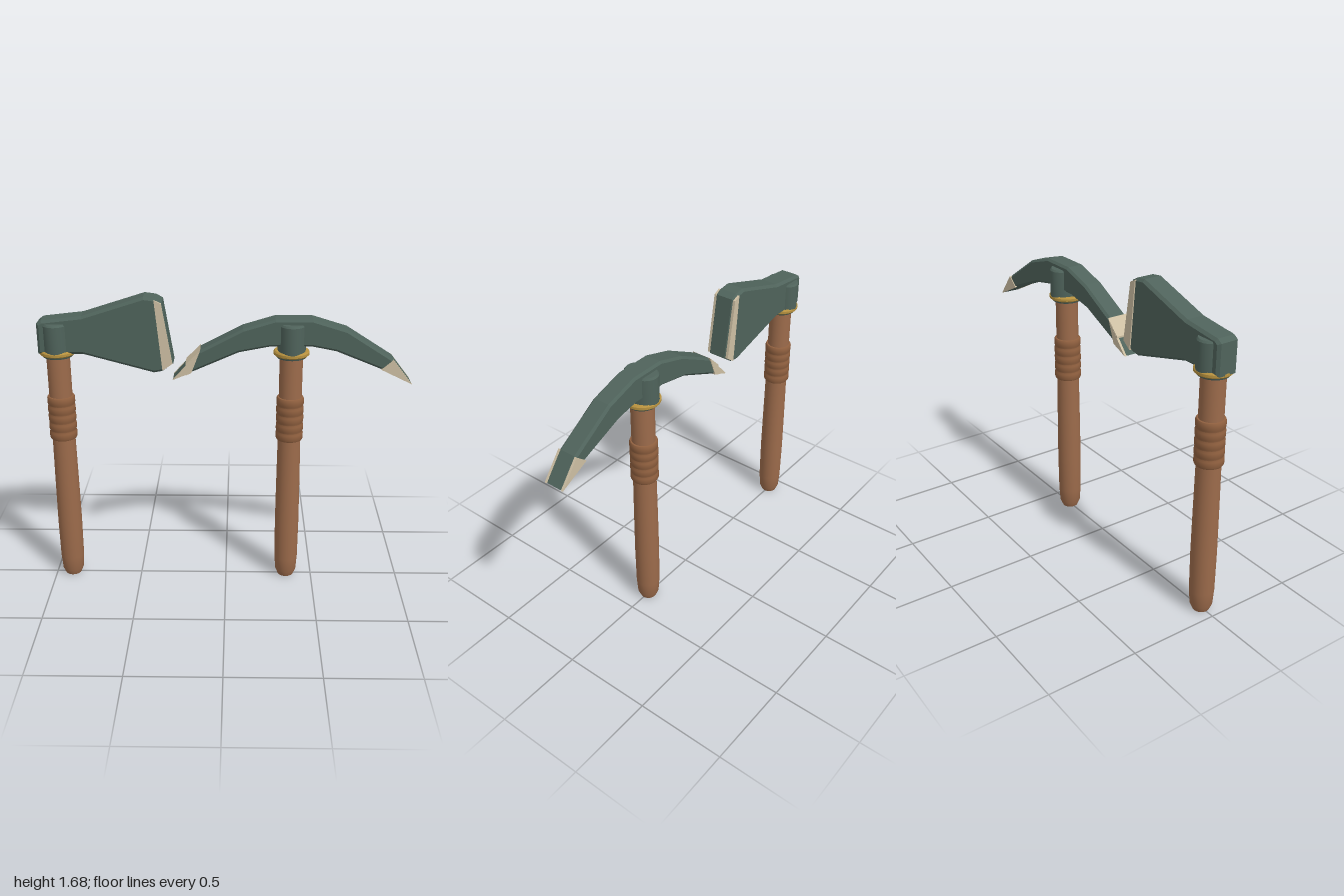
import * as THREE from 'three';
import { toCreasedNormals } from 'three/addons/utils/BufferGeometryUtils.js';

const mat = (name, color) => {
  const m = new THREE.MeshStandardMaterial({ color });
  m.name = name;
  return m;
};

export function createModel() {
  const steel = mat('dark green steel', 0x4f635b);
  const edge = mat('honed edge', 0xcdbfa3);
  const brass = mat('brass', 0xb8923f);
  const wood = mat('wood', 0x9c6b4b);
  const wrapWood = mat('grip wrap', 0x90603f);

  const add = (parent, name, geometry, material) => {
    const mesh = new THREE.Mesh(geometry, material);
    mesh.name = name;
    parent.add(mesh);
    return mesh;
  };
  const lathe = (pts) => toCreasedNormals(
    new THREE.LatheGeometry(pts.map(([r, y]) => new THREE.Vector2(r, y)), 24), 0.6);

  // Flat outline extruded from z0 to z1, bevelled inside the outline
  const slab = (pts, z0, z1, bevel = 0) => {
    const shape = new THREE.Shape(pts.map(([x, y]) => new THREE.Vector2(x, y)));
    const g = new THREE.ExtrudeGeometry(shape, {
      depth: z1 - z0 - 2 * bevel, bevelEnabled: bevel > 0, bevelSegments: 1,
      bevelThickness: bevel, bevelSize: bevel, bevelOffset: -bevel,
    });
    g.translate(0, 0, z0 + bevel);
    return g;
  };
  // Thin cheek plates on both sides of a head
  const cheeks = (parent, name, pts, z0, z1) => {
    add(parent, name + 'Front', slab(pts, z0, z1), edge);
    add(parent, name + 'Back', slab(pts, -z1, -z0), edge);
  };

  // Handle, grip, collar and socket shared by both tools
  const makeHaft = (x) => {
    const haft = new THREE.Group();
    haft.name = 'haft';
    haft.position.x = x;
    add(haft, 'handle', lathe([[0, 0], [0.045, 0], [0.06, 0.035], [0.066, 0.12],
      [0.068, 0.35], [0.066, 0.6], [0.063, 0.87], [0.063, 1.4], [0, 1.4]]), wood);

    // Five slightly rounded bands around the grip
    const wrap = [[0.062, 0.868]];
    for (let i = 0; i < 5; i++) {
      const y = 0.868 + i * 0.05;
      wrap.push([0.071, y + 0.001], [0.0755, y + 0.01], [0.0755, y + 0.04], [0.071, y + 0.049]);
    }
    wrap.push([0.062, 1.118]);
    add(haft, 'gripWrap', lathe(wrap), wrapWood);

    add(haft, 'collarBase', lathe([[0.06, 1.345], [0.08, 1.345], [0.088, 1.365], [0.06, 1.365]]), steel);
    add(haft, 'collar', lathe([[0.06, 1.356], [0.09, 1.356], [0.097, 1.363],
      [0.097, 1.376], [0.09, 1.384], [0.06, 1.384]]), brass);
    const socket = add(haft, 'socket', lathe([[0.0, 1.37], [0.096, 1.37], [0.096, 1.525],
      [0.088, 1.535], [0, 1.535]]), steel);
    socket.scale.x = 0.79;
    return haft;
  };

  const model = new THREE.Group();
  model.name = 'axeAndPickaxe';

  // Axe
  const axe = new THREE.Group();
  axe.name = 'axe';
  axe.add(makeHaft(-0.905));
  add(axe, 'axeHead', slab([[-1, 1.37], [-0.76, 1.37], [-0.385, 1.268], [-0.34, 1.276],
    [-0.28, 1.32], [-0.334, 1.655], [-0.37, 1.675], [-0.43, 1.683], [-0.76, 1.578],
    [-0.975, 1.553], [-1, 1.535]], -0.062, 0.062, 0.014), steel);
  cheeks(axe, 'axeEdge', [[-0.375, 1.668], [-0.338, 1.65], [-0.285, 1.322], [-0.338, 1.284]]
    .reverse(), 0.046, 0.068);
  model.add(axe);

  // Pickaxe
  const pick = new THREE.Group();
  pick.name = 'pickaxe';
  pick.add(makeHaft(0.352));
  add(pick, 'pickHead', slab([[-0.284, 1.229], [-0.15, 1.285], [0.07, 1.382], [0.24, 1.415],
    [0.46, 1.415], [0.588, 1.39], [0.83, 1.292], [0.998, 1.211], [0.893, 1.347],
    [0.645, 1.505], [0.46, 1.562], [0.262, 1.562], [0.09, 1.51], [-0.14, 1.39]],
  -0.055, 0.055, 0.012), steel);
  cheeks(pick, 'rightTip', [[0.83, 1.292], [1.0, 1.21], [0.893, 1.346]], 0.046, 0.059);
  cheeks(pick, 'leftTip', [[-0.286, 1.228], [-0.185, 1.27], [-0.14, 1.389]], 0.046, 0.059);
  add(pick, 'leftTipCap', slab([[-0.216, 1.254], [-0.185, 1.267], [-0.136, 1.394],
    [-0.216, 1.315]], -0.058, 0.058), edge);
  model.add(pick);

  return model;
}
